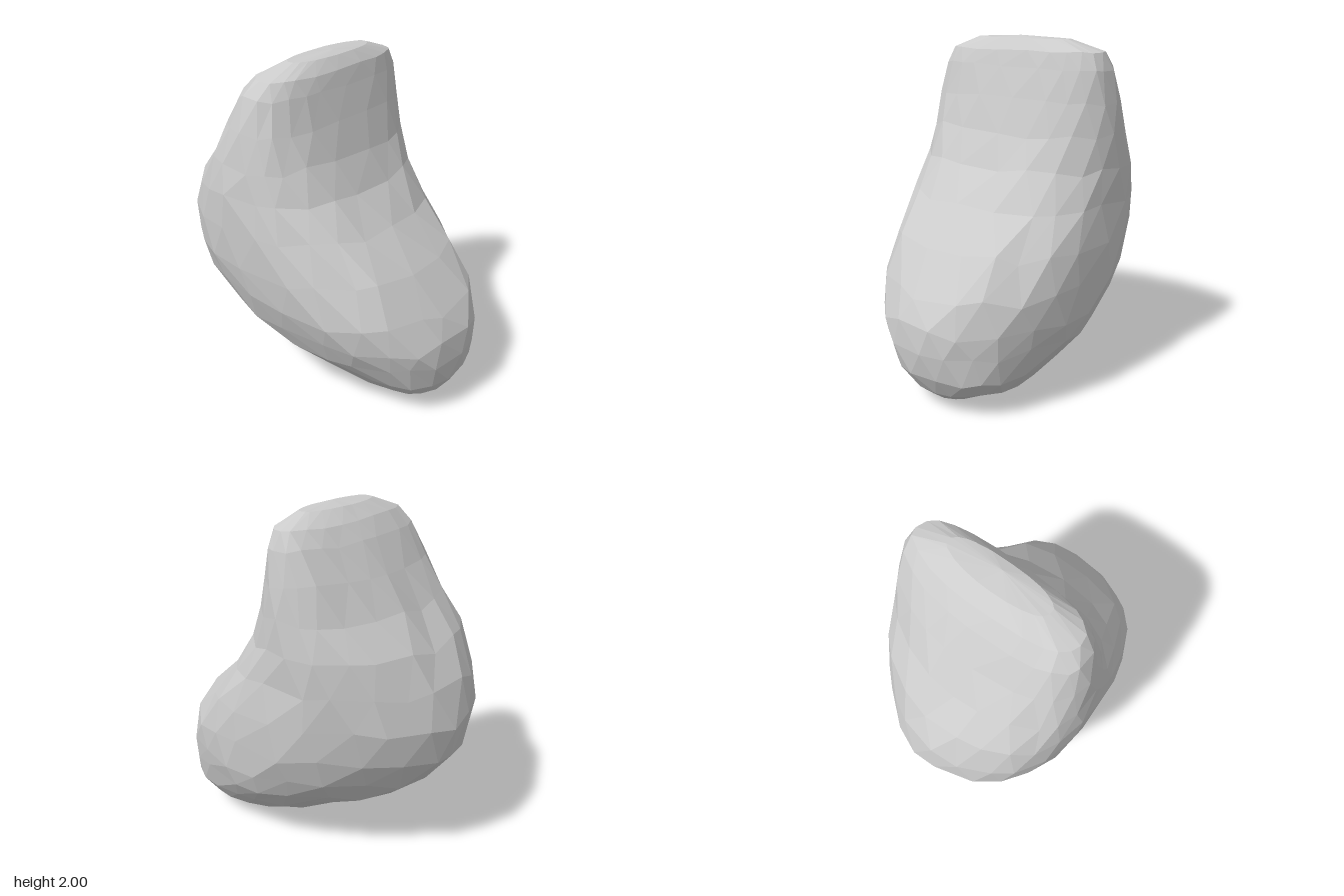
import * as THREE from 'three';

// Horizontal sections: [y, xMin, xMax, back z, front z,
//   squareness of the front +x corner, front -x corner, back corners]
const SECTIONS = [
  [0.05, -0.12, 0.26, 0.1, 0.73, 2.3, 2.7, 2.0],
  [0.12, -0.23, 0.42, -0.08, 0.81, 2.3, 2.8, 2.0],
  [0.22, -0.33, 0.51, -0.25, 0.875, 2.3, 2.8, 2.1],
  [0.37, -0.47, 0.59, -0.57, 0.9, 2.2, 2.4, 2.1],
  [0.5, -0.55, 0.63, -0.73, 0.89, 2.3, 2.3, 2.2],
  [0.66, -0.61, 0.65, -0.86, 0.83, 2.5, 2.4, 2.25],
  [0.87, -0.645, 0.655, -0.905, 0.66, 2.6, 2.5, 2.25],
  [1.08, -0.655, 0.645, -0.85, 0.45, 2.7, 2.6, 2.3],
  [1.27, -0.645, 0.64, -0.74, 0.29, 2.7, 2.6, 2.35],
  [1.46, -0.63, 0.635, -0.59, 0.2, 2.7, 2.6, 2.4],
  [1.65, -0.59, 0.625, -0.46, 0.14, 2.7, 2.6, 2.5],
  [1.83, -0.545, 0.6, -0.34, 0.09, 2.7, 2.6, 2.6],
  [1.92, -0.48, 0.56, -0.26, 0.06, 2.7, 2.6, 2.6],
  [1.985, -0.28, 0.36, -0.17, 0.01, 2.4, 2.4, 2.4],
];
const SIDES = 22;
const BACK_BEVEL = 0.78; // the back +x corner is worn rounder

// Small seeded generator for uneven facets
function makeNoise(seed) {
  return () => {
    seed = (seed * 16807) % 2147483647;
    return seed / 2147483647 - 0.5;
  };
}

function boulderGeometry() {
  const noise = makeNoise(417);
  const positions = [];
  const indices = [];

  // Staggered rounded rings
  SECTIONS.forEach(([yMid, x0, x1, z0, z1, frontPlus, frontMinus, back], row) => {
    const rx = (x1 - x0) / 2, rz = (z1 - z0) / 2;
    const rough = Math.min(1, rz * 2, yMid * 2, (2 - yMid) * 2);
    for (let i = 0; i < SIDES; i++) {
      const a = ((i + (row % 2) / 2 + noise() * 0.4) / SIDES) * Math.PI * 2;
      const c = Math.cos(a), s = Math.sin(a);
      const n = s > 0 ? (c > 0 ? frontPlus : frontMinus) : (c > 0 ? back * BACK_BEVEL : back);
      const k = 1 + noise() * 0.022;
      const x = (x0 + x1) / 2 + k * rx * Math.sign(c) * Math.abs(c) ** (2 / n);
      const y = yMid + noise() * 0.06 * rough;
      let z = (z0 + z1) / 2 + k * rz * Math.sign(s) * Math.abs(s) ** (2 / n);
      // Shallow dent in the lower front
      if (s > 0) z -= 0.06 * Math.exp(-((x + 0.25) ** 2 + (y - 0.75) ** 2) / 0.015);
      positions.push(x, y, z);
    }
  });

  // Triangles between neighbouring rings
  for (let row = 0; row < SECTIONS.length - 1; row++) {
    for (let i = 0; i < SIDES; i++) {
      const j = (i + 1) % SIDES;
      const a = row * SIDES + i, b = row * SIDES + j;
      const c = a + SIDES, d = b + SIDES;
      if (row % 2) indices.push(a, d, b, a, c, d);
      else indices.push(a, c, b, b, c, d);
    }
  }

  // Closing points at the base and the crest
  const base = positions.length / 3, crest = base + 1;
  positions.push(0.08, 0, 0.48, 0.04, 2, -0.05);
  const last = (SECTIONS.length - 1) * SIDES;
  for (let i = 0; i < SIDES; i++) {
    const j = (i + 1) % SIDES;
    indices.push(base, i, j, crest, last + j, last + i);
  }

  const geometry = new THREE.BufferGeometry();
  geometry.setAttribute('position', new THREE.Float32BufferAttribute(positions, 3));
  geometry.setIndex(indices);
  const faceted = geometry.toNonIndexed();
  faceted.computeVertexNormals();
  return faceted;
}

export function createModel() {
  const group = new THREE.Group();
  group.name = 'rock';
  const material = new THREE.MeshStandardMaterial({ color: 0xcccccc, flatShading: true });
  const boulder = new THREE.Mesh(boulderGeometry(), material);
  boulder.name = 'boulder';
  group.add(boulder);
  return group;
}
